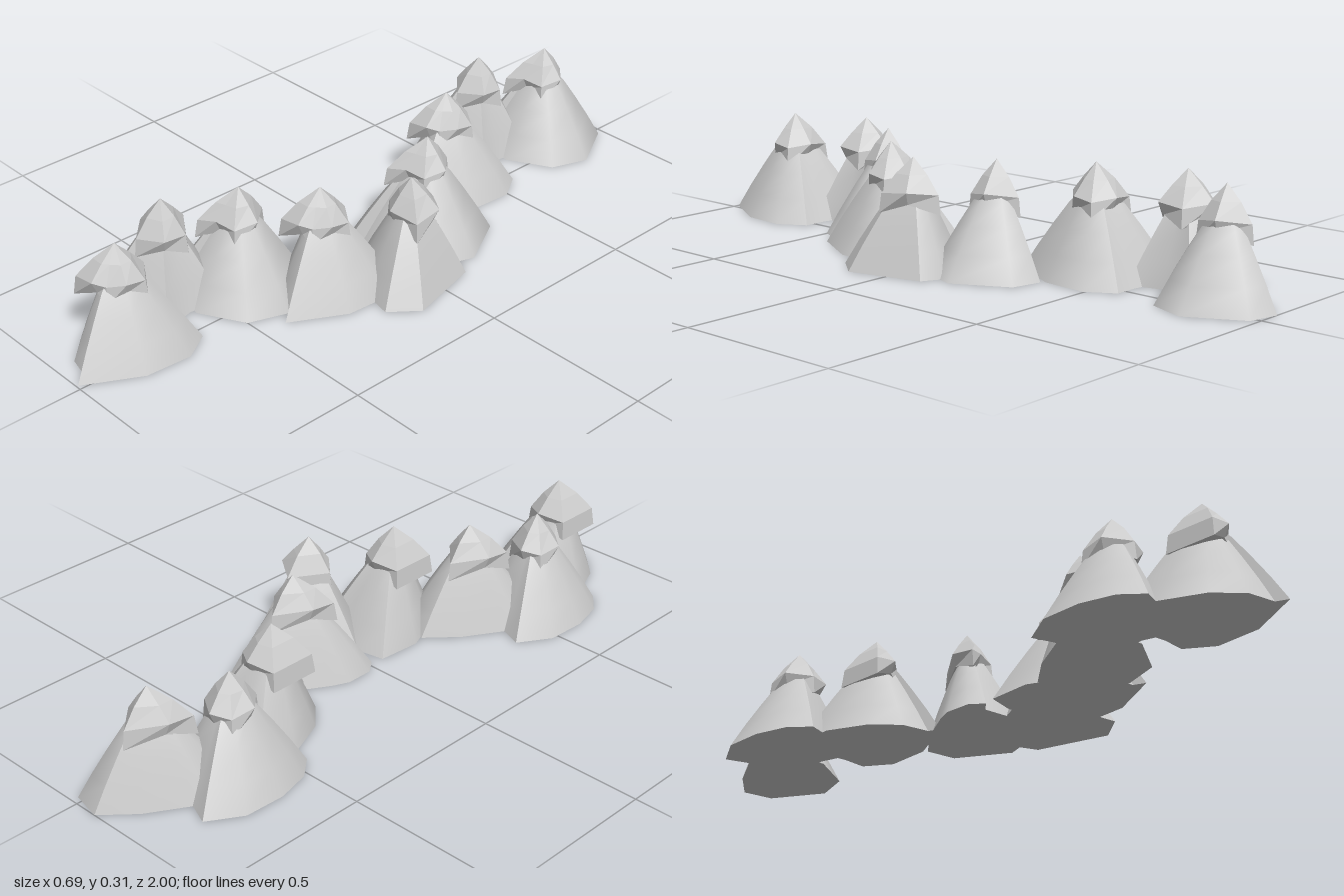
import * as THREE from 'three';
import { toCreasedNormals } from 'three/addons/utils/BufferGeometryUtils.js';

// Closed solid through rings of [x, y, z] (bottom to top), with a base fan and a pointed top
function loft(rings, baseY, apexY) {
  const n = rings[0].length, pos = rings.flat(2), index = [];
  const base = rings.length * n, apex = base + 1, last = base - n;
  pos.push(0, baseY, 0, 0, apexY, 0);
  for (let i = 0; i < n; i++) {
    const j = (i + 1) % n;
    index.push(base, i, j, apex, last + j, last + i);
    for (let r = 0; r < rings.length - 1; r++) {
      const a = r * n + i, b = r * n + j;
      index.push(a, a + n, b, b, a + n, b + n);
    }
  }
  const g = new THREE.BufferGeometry();
  g.setAttribute('position', new THREE.Float32BufferAttribute(pos, 3));
  g.setIndex(index);
  return g;
}

// Irregular outlines [x, z] in hundredths: foot of the slope and brim of the snow cap
const shapes = {
  a: {
    foot: [[-13, -18], [-5, -19.5], [5, -17.5], [12, -17.5], [17, -9.5], [16, 4], [7.4, 19.5], [6, 16], [-2, 14], [-9, 7], [-14, -5]],
    brim: [[-7, -6], [1, -8], [7, -4], [7, 2], [3, 5.5], [0, 8], [-7, 8]],
  },
  b: {
    foot: [[2, -17.5], [11, -15.5], [19.5, 0], [15.5, 11], [2.6, 18], [-9, 16], [-12, 19], [-15, 15], [-15, 7], [-13, 2.5], [-6, -9]],
    brim: [[0, -8], [6.5, -1], [4.5, 5.5], [-1.5, 7], [-7, 9], [-7, 1]],
  },
  c: {
    foot: [[-10, -19.5], [-4, -17], [5, -15], [12, -10], [10.5, 0], [13, 9.5], [0, 15.5], [-9, 18], [-14, 12], [-16.5, 2], [-16, -10]],
    brim: [[-6, -5], [-1, -8], [6.5, -3], [7, 4.5], [-1, 8], [-7, 2]],
  },
  d: {
    foot: [[4, -15], [10, -12], [13, 0], [15.5, 10], [9, 18], [-0.5, 16], [-10.5, 11], [-17, 2.5], [-14, -3], [-8, -12]],
    brim: [[-0.5, -9], [7, -4], [7.5, 5], [-1.5, 6.5], [-7, 1.5]],
  },
};

const ring = (outline, scale, height) => outline.map(([x, z], i) => {
  const s = (typeof scale === 'function' ? scale(i) : scale) / 100;
  return [x * s, typeof height === 'function' ? height(i) : height, z * s];
});

// Slightly bulging slope, smooth apart from its sharp ridges
function slopeGeometry(foot) {
  const profile = [[0, 1], [0.07, 0.79], [0.14, 0.56], [0.2, 0.35]];
  return toCreasedNormals(loft(profile.map(([y, s]) => ring(foot, s, y)), 0, 0.275), 0.75);
}

// Faceted cap with a ragged lower edge
function capGeometry(brim) {
  const odd = i => i % 2;
  return loft([
    ring(brim, i => odd(i) ? 0.8 : 1.08, i => odd(i) ? 0.19 : 0.16),
    ring(brim, 1, i => odd(i) ? 0.225 : 0.215),
    ring(brim, 0.55, 0.268),
  ], 0.19, 0.313);
}

export function createModel() {
  const model = new THREE.Group();
  model.name = 'mountainRange';
  const rock = new THREE.MeshStandardMaterial({ color: 0xcccccc });
  const snow = new THREE.MeshStandardMaterial({ color: 0xcccccc, flatShading: true });

  const geometry = {};
  for (const [key, s] of Object.entries(shapes)) {
    geometry[key] = { slope: slopeGeometry(s.foot), cap: capGeometry(s.brim) };
  }

  // Winding row of peaks: shape, x, z
  const peaks = [
    ['b', -0.09, -0.825], ['c', -0.185, -0.635], ['a', -0.09, -0.4],
    ['b', 0.06, -0.175], ['d', 0.19, 0.015], ['a', 0.06, 0.23],
    ['b', -0.09, 0.39], ['c', -0.185, 0.58], ['a', -0.09, 0.8],
  ];
  peaks.forEach(([key, x, z], i) => {
    const mountain = new THREE.Group();
    mountain.name = `mountain${i + 1}`;
    mountain.position.set(x, 0, z);
    const slope = new THREE.Mesh(geometry[key].slope, rock);
    slope.name = 'slope';
    const cap = new THREE.Mesh(geometry[key].cap, snow);
    cap.name = 'snowCap';
    mountain.add(slope, cap);
    model.add(mountain);
  });
  // Flat facets come from unshared vertices
  for (const key in geometry) {
    const flat = geometry[key].cap.toNonIndexed();
    flat.computeVertexNormals();
    geometry[key].cap.copy(flat);
    geometry[key].cap.setIndex(null);
  }
  return model;
}
